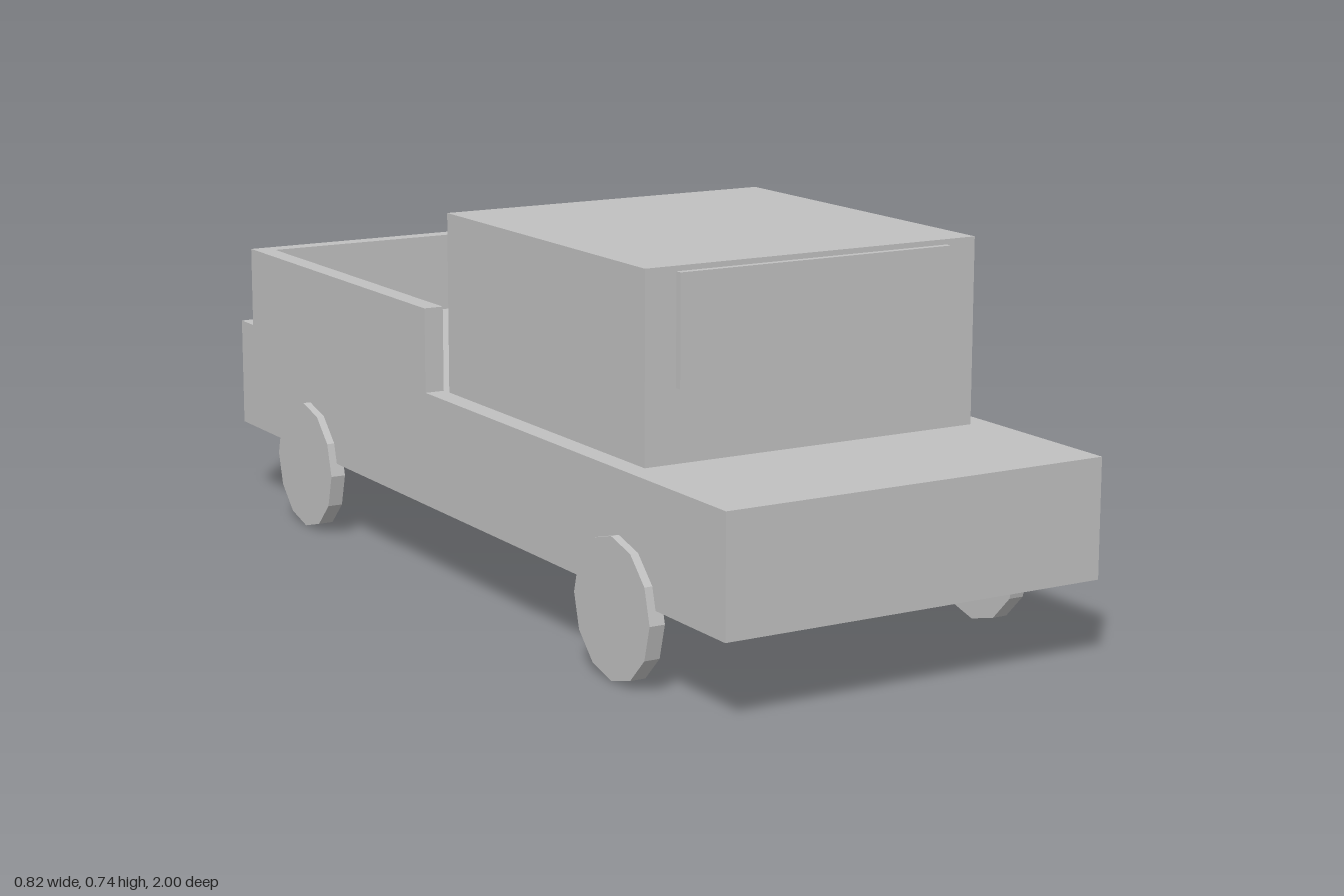
import * as THREE from 'three';

export function createModel() {
  const model = new THREE.Group();
  const grey = new THREE.MeshStandardMaterial({ color: 0xc0c0c0, flatShading: true });
  grey.name = 'grey';

  // Box given by its lower and upper bounds on each axis
  function box(name, [x0, x1], [y0, y1], [z0, z1]) {
    const mesh = new THREE.Mesh(new THREE.BoxGeometry(x1 - x0, y1 - y0, z1 - z0), grey);
    mesh.position.set((x0 + x1) / 2, (y0 + y1) / 2, (z0 + z1) / 2);
    mesh.name = name;
    model.add(mesh);
  }

  // Lower body, cab and windscreen
  box('body', [-0.396, 0.396], [0.158, 0.385], [-1, 1]);
  box('cab', [-0.354, 0.354], [0.385, 0.74], [-0.084, 0.665]);
  box('windscreen', [-0.29, 0.29], [0.522, 0.73], [0.665, 0.679]);

  // Cargo bed: one U-shaped wall, open towards the cab
  const wall = new THREE.Shape([
    [-0.396, 0.104], [-0.356, 0.104], [-0.356, 0.9], [0.356, 0.9],
    [0.356, 0.104], [0.396, 0.104], [0.396, 0.939], [-0.396, 0.939],
  ].map(([x, y]) => new THREE.Vector2(x, y)));
  const bedGeometry = new THREE.ExtrudeGeometry(wall, { depth: 0.168, bevelEnabled: false });
  bedGeometry.rotateX(-Math.PI / 2);
  const bed = new THREE.Mesh(bedGeometry, grey);
  bed.position.y = 0.385;
  bed.name = 'bedWalls';
  model.add(bed);

  // Twelve-sided wheels, slightly proud of the body sides
  const wheelGeometry = new THREE.CylinderGeometry(0.133, 0.133, 0.031, 12);
  wheelGeometry.rotateZ(Math.PI / 2);
  for (const [end, z] of [['front', 0.647], ['rear', -0.647]]) {
    for (const [side, s] of [['Left', 1], ['Right', -1]]) {
      const wheel = new THREE.Mesh(wheelGeometry, grey);
      wheel.position.set(s * 0.3965, 0.133, z);
      wheel.name = end + side + 'Wheel';
      model.add(wheel);
    }
  }
  return model;
}
